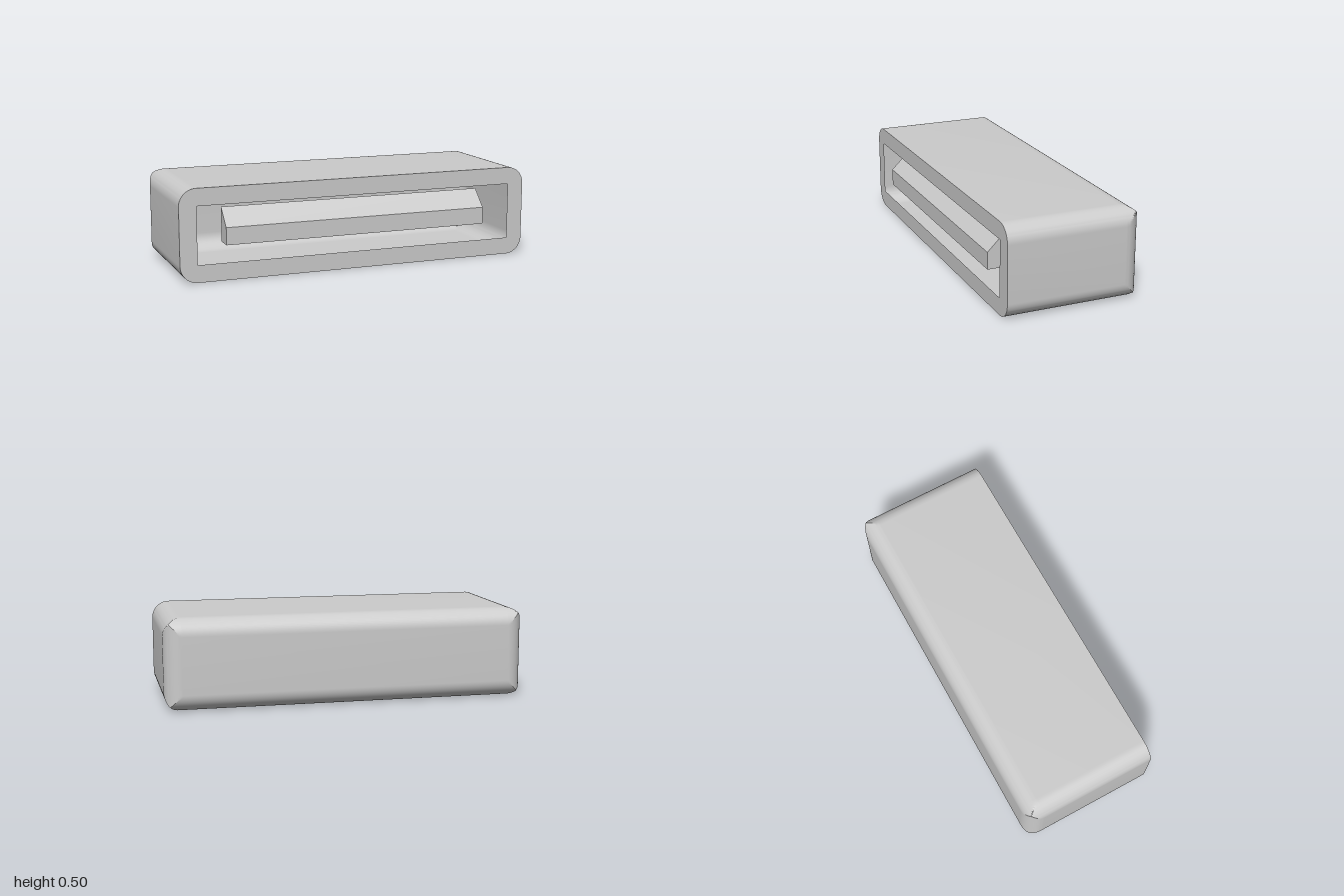
import * as THREE from 'three';
import { toCreasedNormals } from 'three/addons/utils/BufferGeometryUtils.js';

const R = 0.094;                    // edge radius, rim width and lip depth
const W = 1 - R, H = 0.25 - R;      // half size inside the rounding
const FRONT = 0.375, MID = 0.25;    // front plane, centre height
const STEPS = 16;                   // segments per rounded edge

const material = new THREE.MeshStandardMaterial({ color: 0xcccccc, side: THREE.DoubleSide });

// One section of the shell; phi runs around the back edge, so the rounded
// edges meet each other in mitred corners.
function section(z, phi) {
  const m = Math.cos(phi), points = [];
  for (let k = 0; k < 4; k++) {
    const sx = k === 0 || k === 3 ? 1 : -1, sy = k < 2 ? 1 : -1;
    for (let i = 0; i <= STEPS; i++) {
      const t = (k + i / STEPS) * Math.PI / 2;
      points.push(
        sx * W + R * THREE.MathUtils.clamp(Math.cos(t), -m, m),
        MID + sy * H + R * THREE.MathUtils.clamp(Math.sin(t), -m, m),
        z);
    }
  }
  return points;
}

// Thin shell, open at the front, with a rounded back
function shellGeometry() {
  const positions = section(FRONT, 0), index = [];
  for (let i = 0; i <= STEPS; i++) {
    const phi = i / STEPS * Math.PI / 2;
    positions.push(...section(-FRONT + R - R * Math.sin(phi), phi));
  }
  const n = 4 * (STEPS + 1), rings = STEPS + 2;
  for (let r = 0; r < rings - 1; r++) {
    for (let j = 0; j < n; j++) {
      const a = r * n + j, b = r * n + (j + 1) % n;
      index.push(a + n, b + n, b, a + n, b, a);
    }
  }
  // flat back panel
  const [p, q, s, t] = [0, 1, 2, 3].map(k => (rings - 1) * n + k * (STEPS + 1));
  index.push(p, t, s, p, s, q);
  const geometry = new THREE.BufferGeometry();
  geometry.setAttribute('position', new THREE.Float32BufferAttribute(positions, 3));
  geometry.setIndex(index);
  return toCreasedNormals(geometry, 0.35);
}

// Flat front rim with a rectangular opening
function rimGeometry() {
  const outline = new THREE.Shape();
  [[1, 1], [-1, 1], [-1, -1], [1, -1]].forEach(([x, y], k) =>
    outline.absarc(x * W, MID + y * H, R, k * Math.PI / 2, (k + 1) * Math.PI / 2, false));
  const hole = new THREE.Path();
  hole.moveTo(-W, MID - H).lineTo(-W, MID + H).lineTo(W, MID + H).lineTo(W, MID - H).closePath();
  outline.holes.push(hole);
  return new THREE.ShapeGeometry(outline, STEPS).translate(0, 0, FRONT);
}

// Bar in the opening, bevelled at the upper front; profile drawn as (-z, y)
function barGeometry() {
  const back = FRONT - R;
  const profile = new THREE.Shape([
    [-FRONT, 0.1875], [-back, 0.1875], [-back, 0.375], [-FRONT, 0.2815],
  ].map(([x, y]) => new THREE.Vector2(x, y)));
  return new THREE.ExtrudeGeometry(profile, { depth: 1.5, bevelEnabled: false })
    .translate(0, 0, -0.75)
    .rotateY(Math.PI / 2);
}

export function createModel() {
  const group = new THREE.Group();
  group.name = 'slottedCase';
  const parts = { shell: shellGeometry(), frontRim: rimGeometry(), slotBar: barGeometry() };
  for (const [name, geometry] of Object.entries(parts)) {
    const mesh = new THREE.Mesh(geometry, material);
    mesh.name = name;
    group.add(mesh);
  }
  return group;
}
